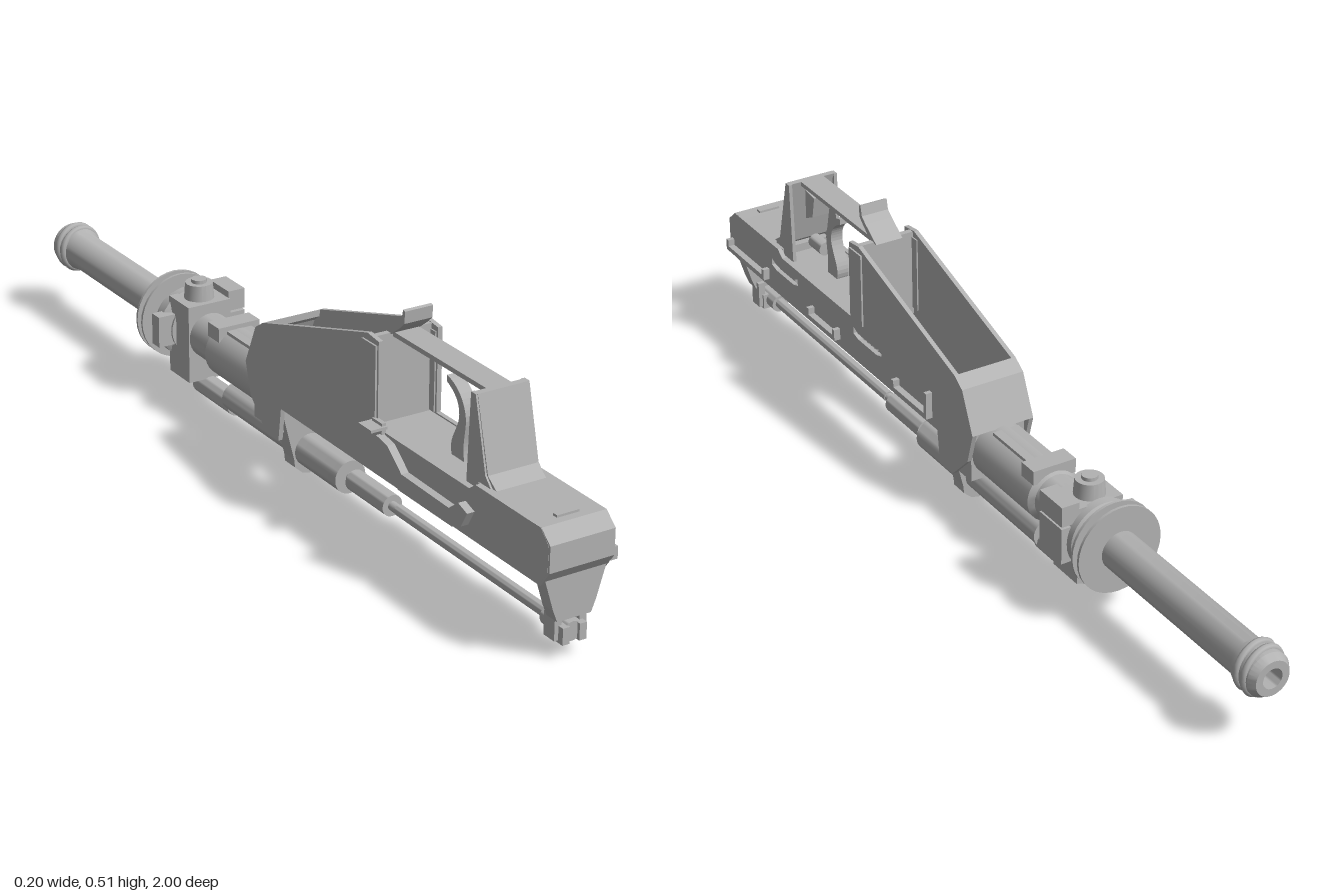
import * as THREE from 'three';
import { toCreasedNormals } from 'three/addons/utils/BufferGeometryUtils.js';

const CX = 0.007; // the body sits slightly off centre

export function createModel() {
  const model = new THREE.Group();
  model.name = 'rifleReceiver';
  const steel = new THREE.MeshStandardMaterial({ color: 0xb2b2b2 });
  steel.name = 'grey steel';

  const add = (name, geo, x = 0, y = 0, z = 0) => {
    const m = new THREE.Mesh(geo, steel);
    m.name = name;
    m.position.set(x + CX, y, z);
    model.add(m);
    return m;
  };
  const box = (name, x0, x1, y0, y1, z0, z1) =>
    add(name, new THREE.BoxGeometry(x1 - x0, y1 - y0, z1 - z0), (x0 + x1) / 2, (y0 + y1) / 2, (z0 + z1) / 2);
  const toShape = pts => new THREE.Shape(pts.map(p => new THREE.Vector2(p[0], p[1])));
  // side outline in (z, y), given thickness across x
  const sidePlate = (name, shape, x0, x1) => {
    const g = new THREE.ExtrudeGeometry(shape, { depth: x1 - x0, bevelEnabled: false, curveSegments: 10 });
    g.rotateY(-Math.PI / 2);
    return add(name, g, x1);
  };
  // front outline in (x, y), given length along z
  const frontPlate = (name, shape, z0, z1) =>
    add(name, new THREE.ExtrudeGeometry(shape, { depth: z1 - z0, bevelEnabled: false }), 0, 0, z0);
  // turned part along z, from [radius, z] points with z rising on the outside
  const turned = (name, pts, y, x = 0) => {
    const g = new THREE.LatheGeometry(pts.map(p => new THREE.Vector2(p[0], p[1])), 32);
    g.rotateX(Math.PI / 2);
    return add(name, toCreasedNormals(g, 0.6), x, y);
  };
  const rod = (name, r, z0, z1, y, x = 0) => turned(name, [[0, z0], [r, z0], [r, z1], [0, z1]], y, x);

  // Barrel with bored muzzle and stepped breech
  turned('barrel', [[0, -0.92], [0.022, -0.92], [0.022, -1], [0.038, -1], [0.048, -0.985], [0.048, -0.935],
    [0.042, -0.925], [0.042, -0.36], [0.05, -0.36], [0.05, -0.27], [0.061, -0.26], [0.061, 0.03], [0, 0.03]], 0.162);
  for (const z of [-0.945, -0.968]) {
    const ring = add('muzzleRing', new THREE.TorusGeometry(0.047, 0.008, 8, 32), 0, 0.162, z);
    ring.rotation.y = 0.15;
  }
  box('sightBase', -0.05, 0.05, 0.2, 0.232, -0.265, -0.22);
  box('sightStep', -0.03, 0.03, 0.2, 0.222, -0.22, -0.08);

  // Flanged collar
  rod('collar', 0.062, -0.5, -0.4, 0.162);
  for (const z of [-0.478, -0.5]) rod('collarDisc', 0.096, z, z + 0.006, 0.163);
  turned('collarRing', [[0, -0.455], [0.065, -0.455], [0.078, -0.445], [0.078, -0.425], [0.065, -0.418], [0, -0.418]], 0.163);

  // Gas block
  box('gasBlock', -0.052, 0.052, 0.06, 0.235, -0.43, -0.345);
  for (const [y0, y1] of [[0.12, 0.2], [0.205, 0.25]])
    box('gasBlockLug', 0.05, 0.09, y0, y1, -0.43, -0.35);
  box('gasBlockLug', -0.092, -0.05, 0.13, 0.2, -0.435, -0.405);
  const knob = new THREE.CylinderGeometry(0.03, 0.034, 0.05, 20);
  add('gasKnob', toCreasedNormals(knob, 0.6), 0, 0.245, -0.39);
  add('gasKnobScrew', toCreasedNormals(new THREE.CylinderGeometry(0.017, 0.017, 0.01, 16), 0.6), 0, 0.273, -0.39);

  // Gas tube, piston and operating rod
  rod('gasTubeSleeve', 0.036, 0.06, 0.22, 0.055);
  rod('gasTube', 0.032, -0.24, 0.06, 0.058);
  rod('gasTubeEnd', 0.024, -0.38, -0.23, 0.04);
  rod('pistonNeck', 0.01, 0.2, 0.42, 0.056);
  rod('piston', 0.023, 0.238, 0.375, 0.056);
  rod('operatingRod', 0.012, 0.4, 0.92, 0.057);
  rod('rodKnob', 0.02, 0.9, 0.975, 0.055);
  for (const x of [-0.019, 0.019]) box('rodKnobEar', x - 0.008, x + 0.008, 0.035, 0.07, 0.93, 0.982);

  // Receiver side walls running back into the magazine well
  const outline = [[0.965, 0.165], [0.99, 0.2], [0.99, 0.255], [0.965, 0.28], [0.76, 0.28], [0.74, 0.265],
    [0.43, 0.265], [0.43, 0.445], [0.39, 0.45], [0, 0.33], [-0.03, 0.31], [-0.07, 0.22], [-0.05, 0.15],
    [0.01, 0.09], [0.06, 0.09], [0.07, 0.165]];
  for (const s of [-1, 1]) {
    const wall = toShape(outline);
    if (s > 0) for (const z of [0.3, 0.67]) {
      wall.holes.push(new THREE.Path([[z, 0.244], [z, 0.228], [z + 0.02, 0.222], [z + 0.1, 0.222],
        [z + 0.12, 0.228], [z + 0.12, 0.244], [z + 0.1, 0.236], [z + 0.02, 0.236]]
        .map(p => new THREE.Vector2(...p))));
    }
    sidePlate('receiverWall', wall, s > 0 ? 0.063 : -0.073, s > 0 ? 0.073 : -0.063);
    // inner guide rail and raised magazine well lip
    box('guideRail', s > 0 ? 0.045 : -0.064, s > 0 ? 0.064 : -0.045, 0.165, 0.185, 0.06, 0.95);
    box('wellRib', s > 0 ? 0.06 : -0.077, s > 0 ? 0.077 : -0.06, 0.265, 0.435, 0.375, 0.425);
  }
  box('receiverDeck', -0.064, 0.064, 0.235, 0.262, 0.4, 0.76);
  box('receiverNoseDeck', -0.064, 0.064, 0.245, 0.28, 0.755, 0.965);
  box('noseSlot', -0.025, 0.025, 0.28, 0.285, 0.935, 0.948);
  sidePlate('receiverNose', toShape([[0.93, 0.165], [0.97, 0.165], [0.995, 0.2], [0.995, 0.255],
    [0.966, 0.2805], [0.93, 0.28]]), -0.0725, 0.0725);
  frontPlate('noseLeg', toShape([[-0.07, 0.21], [-0.068, 0.175], [-0.048, 0.11], [-0.038, 0.085],
    [0.038, 0.085], [0.048, 0.11], [0.068, 0.175], [0.07, 0.21]]), 0.945, 0.978);
  for (const s of [-1, 1])
    box('noseFork', s > 0 ? 0.02 : -0.036, s > 0 ? 0.036 : -0.02, 0.04, 0.1, 0.935, 0.968);

  // Recoil spring inside the channel
  const coil = [];
  for (let i = 0; i <= 240; i++) {
    const a = i / 10 * Math.PI * 2;
    coil.push(new THREE.Vector3(0.018 * Math.cos(a), 0.018 * Math.sin(a), 0.42 + 0.38 * i / 240));
  }
  add('recoilSpring', new THREE.TubeGeometry(new THREE.CatmullRomCurve3(coil), 480, 0.0045, 5), 0, 0.168);
  rod('springGuide', 0.012, 0.4, 0.94, 0.168);
  rod('springSeat', 0.02, 0.79, 0.94, 0.168);

  // Raised brackets on one side
  for (const [z0, z1] of [[0.09, 0.235], [0.48, 0.605], [0.805, 0.985]]) {
    box('bracketBar', 0.07, 0.088, 0.184, 0.195, z0, z1);
    for (const z of [z0, z1 - 0.01]) box('bracketEnd', 0.07, 0.088, 0.184, z === z0 && z0 < 0.1 ? 0.245 : 0.21, z, z + 0.01);
  }

  // Magazine well end plates
  box('wellFrontPlate', -0.064, 0.064, 0.25, 0.447, 0.395, 0.408);
  sidePlate('wellRearPlate', toShape([[0, 0.33], [-0.03, 0.31], [-0.07, 0.22], [-0.055, 0.22],
    [-0.02, 0.3], [0, 0.315]]), -0.064, 0.064);
  box('trunnion', -0.064, 0.064, 0.1, 0.215, -0.05, 0.05);
  frontPlate('tubeBracket', toShape([[-0.073, 0.18], [-0.058, 0.12], [-0.038, 0.04], [-0.036, 0.022], [-0.018, 0.006],
    [0, 0.002], [0.018, 0.006], [0.036, 0.022], [0.038, 0.04], [0.058, 0.12], [0.073, 0.18]]), 0.025, 0.065);

  // Trigger guard, front post and magazine catch
  box('triggerGuard', -0.028, 0.028, 0.44, 0.45, 0.41, 0.735);
  sidePlate('postFrontPlate', toShape([[0.81, 0.275], [0.775, 0.3], [0.736, 0.45], [0.722, 0.45], [0.76, 0.29],
    [0.79, 0.265]]), -0.056, 0.056);
  for (const s of [-1, 1])
    sidePlate('postSide', toShape([[0.805, 0.265], [0.772, 0.3], [0.735, 0.45], [0.72, 0.45], [0.712, 0.265]]),
      s > 0 ? 0.052 : -0.06, s > 0 ? 0.06 : -0.052);
  sidePlate('magazineCatch', toShape([[0.385, 0.445], [0.43, 0.475], [0.445, 0.487], [0.45, 0.51], [0.457, 0.508],
    [0.455, 0.482], [0.44, 0.468], [0.41, 0.445]]), -0.032, 0.032);

  // Trigger and sear
  const trigger = new THREE.Shape();
  trigger.moveTo(0.575, 0.418);
  trigger.bezierCurveTo(0.62, 0.41, 0.645, 0.37, 0.64, 0.335);
  trigger.bezierCurveTo(0.637, 0.31, 0.63, 0.29, 0.64, 0.255);
  trigger.lineTo(0.6, 0.255);
  trigger.bezierCurveTo(0.58, 0.29, 0.61, 0.31, 0.618, 0.345);
  trigger.bezierCurveTo(0.62, 0.37, 0.61, 0.39, 0.575, 0.405);
  sidePlate('trigger', trigger, -0.014, 0.014);
  sidePlate('sear', toShape([[0.72, 0.43], [0.68, 0.425], [0.69, 0.375], [0.72, 0.36]]), -0.02, 0.02);
  rod('searPin', 0.016, 0.67, 0.72, 0.3);

  // Lever on the other side
  sidePlate('sideLever', toShape([[0.76, 0.225], [0.74, 0.19], [0.71, 0.178], [0.53, 0.178], [0.48, 0.2], [0.45, 0.235],
    [0.45, 0.262], [0.49, 0.255], [0.54, 0.215], [0.7, 0.212], [0.73, 0.235]]), -0.09, -0.072);
  box('leverTab', -0.108, -0.07, 0.273, 0.279, 0.415, 0.46);
  box('leverTabRoot', -0.08, -0.07, 0.255, 0.285, 0.42, 0.455);

  return model;
}
